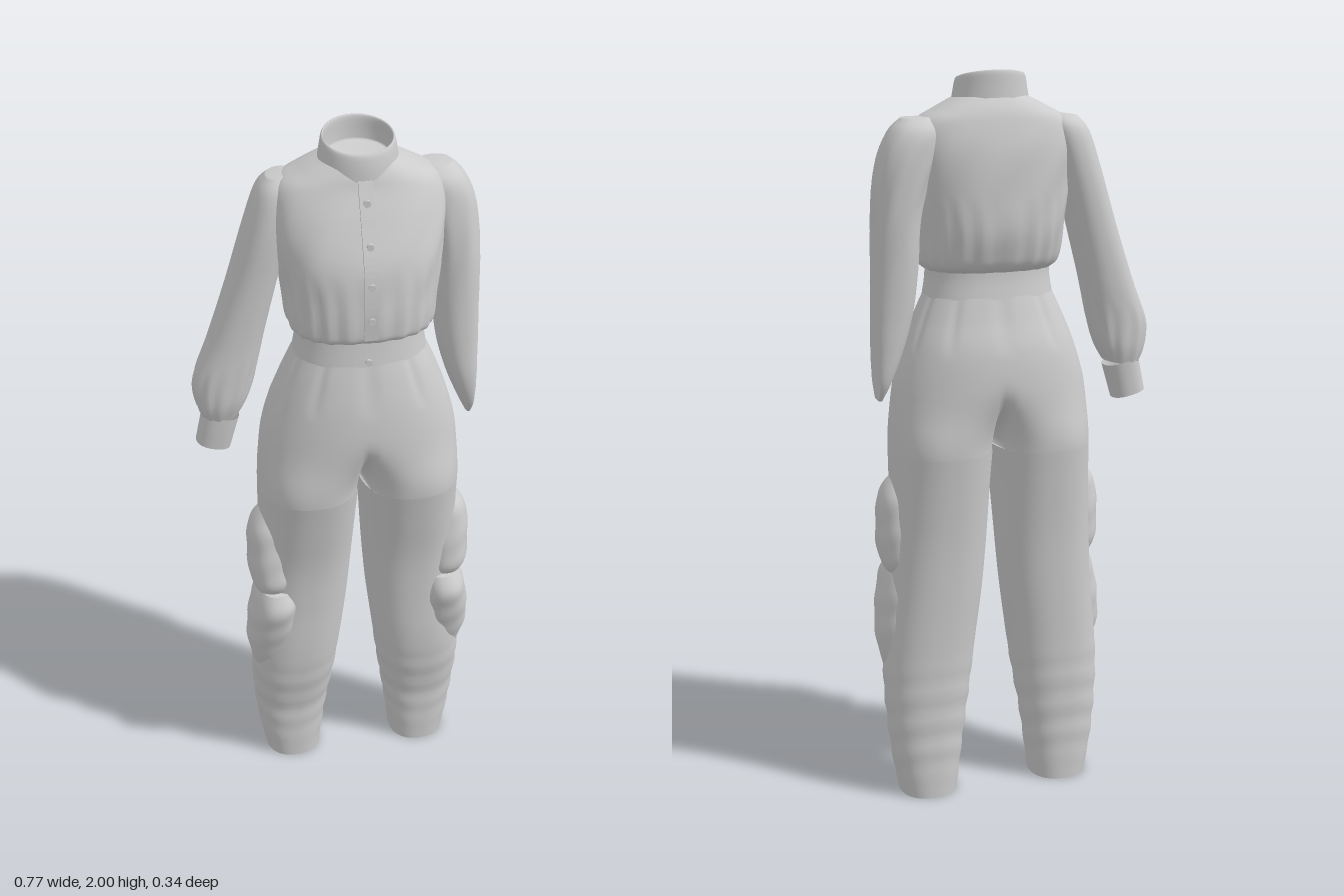
import * as THREE from 'three';

const CX = 0.055; // the body axis sits slightly left of the origin
const material = new THREE.MeshStandardMaterial({ color: 0xcccccc, side: THREE.DoubleSide });

// Smooth curve through one column of the section list
function spline(rows, col, i, t) {
  const at = k => rows[Math.min(Math.max(k, 0), rows.length - 1)][col];
  const [a, b, c, d] = [at(i - 1), at(i), at(i + 1), at(i + 2)];
  return b + 0.5 * t * (c - a + t * (2 * a - 5 * b + 4 * c - d + t * (3 * (b - c) + d - a)));
}

// Loft through horizontal rings, listed top to bottom as [y, xMin, xMax, zFront, zBack]
function loft(name, rows, o = {}) {
  const { e = 2.3, n = 64, sub = 6, tiltX = 0, tiltZ = 0, fold, depth, maxX = 9, capTop, capBottom } = o;
  const pos = [], idx = [];
  const rings = (rows.length - 1) * sub + 1;
  const pw = v => Math.sign(v) * Math.pow(Math.abs(v), 2 / e);
  for (let r = 0; r < rings; r++) {
    const i = Math.min(Math.floor(r / sub), rows.length - 2), t = r / sub - i;
    const [y, x0, x1, zf, zb] = [0, 1, 2, 3, 4].map(c => spline(rows, c, i, t));
    for (let j = 0; j < n; j++) {
      const a = j / n * Math.PI * 2;
      const k = fold ? 1 + fold(a, y) : 1;
      const u = pw(Math.cos(a));
      let v = pw(Math.sin(a));
      if (depth) v = Math.sign(v) * depth(Math.abs(u), Math.abs(v), y);
      const dx = u * k * (x1 - x0) / 2, dz = v * k * (zf - zb) / 2;
      pos.push(Math.min((x0 + x1) / 2 + dx, maxX), y + dx * tiltX + dz * tiltZ, (zf + zb) / 2 + dz);
      if (r < rings - 1) {
        const A = r * n + j, B = r * n + (j + 1) % n;
        idx.push(A, B, A + n, B, B + n, A + n);
      }
    }
  }
  const cap = (row, start, flip) => {
    const c = pos.length / 3;
    pos.push((row[1] + row[2]) / 2, row[0], (row[3] + row[4]) / 2);
    for (let j = 0; j < n; j++) {
      const A = start + j, B = start + (j + 1) % n;
      idx.push(c, flip ? A : B, flip ? B : A);
    }
  };
  if (capTop) cap(rows[0], 0, false);
  if (capBottom) cap(rows[rows.length - 1], (rings - 1) * n, true);
  const g = new THREE.BufferGeometry();
  g.setAttribute('position', new THREE.Float32BufferAttribute(pos, 3));
  g.setIndex(idx);
  g.computeVertexNormals();
  const mesh = new THREE.Mesh(g, material);
  mesh.name = name;
  return mesh;
}

// Symmetric rows: [y, halfWidth, zFront, zBack]
const centred = rows => rows.map(([y, w, f, b]) => [y, CX - w, CX + w, f, b]);
// Side rows: [y, inner, outer, zFront, zBack], measured from the body axis
const sided = (rows, s) => rows.map(([y, i, o, f, b]) =>
  s > 0 ? [y, CX + i, CX + o, f, b] : [y, CX - o, CX - i, f, b]);

const bump = (y, mid, half) => Math.max(0, 1 - ((y - mid) / half) ** 2);

export function createModel() {
  const model = new THREE.Group();
  model.name = 'blouseAndTrousers';

  // Blouse, bloused over the waist
  model.add(loft('blouse', centred([
    [1.935, 0.09, 0.05, -0.105], [1.905, 0.15, 0.065, -0.128], [1.87, 0.205, 0.078, -0.142],
    [1.8, 0.222, 0.112, -0.158], [1.7, 0.212, 0.152, -0.164], [1.6, 0.198, 0.164, -0.162],
    [1.53, 0.192, 0.165, -0.145], [1.5, 0.184, 0.158, -0.13], [1.485, 0.168, 0.13, -0.11],
  ]), { e: 2.5, n: 96, fold: (a, y) => 0.018 * Math.sin(a * 22) * bump(y, 1.53, 0.16)
      + 0.012 * Math.sin(a * 9 + y * 30) * bump(y, 1.7, 0.17) }));

  // Stand collar with an inner wall and neck lining
  model.add(loft('collar', centred([
    [1.91, 0.104, 0.07, -0.112], [1.945, 0.098, 0.068, -0.11], [1.977, 0.092, 0.062, -0.108],
    [1.979, 0.086, 0.054, -0.1], [1.945, 0.086, 0.05, -0.098], [1.92, 0.084, 0.048, -0.096],
  ]), { e: 2, sub: 3, tiltZ: -0.24, capBottom: true }));

  // Button placket following the chest
  const line = new THREE.CatmullRomCurve3([[1.9, 0.066], [1.8, 0.112], [1.7, 0.153], [1.6, 0.165], [1.51, 0.161]]
    .map(([y, z]) => new THREE.Vector3(CX, y, z)));
  const strip = new THREE.Shape([[-0.005, -0.018], [0.005, -0.018], [0.005, 0.018], [-0.005, 0.018]]
    .map(p => new THREE.Vector2(...p)));
  const flat = new THREE.ExtrudeGeometry(strip, { steps: 24, depth: 1, bevelEnabled: false });
  const p = flat.attributes.position;
  for (let i = 0; i < p.count; i++) {
    const q = line.getPoint(Math.min(Math.max(p.getZ(i), 0), 1));
    p.setXYZ(i, q.x + p.getY(i), q.y, q.z - p.getX(i));
  }
  flat.computeVertexNormals();
  const placket = new THREE.Mesh(flat, material);
  placket.name = 'placket';
  model.add(placket);

  // Buttons on the placket and the waistband
  const spots = [0.12, 0.36, 0.6, 0.84].map(t => line.getPoint(t)).concat(new THREE.Vector3(CX, 1.43, 0.133));
  for (const s of spots) {
    const b = new THREE.Mesh(new THREE.CylinderGeometry(0.009, 0.009, 0.008, 16), material);
    b.name = 'button';
    b.rotation.x = Math.PI / 2;
    b.position.set(s.x, s.y, s.z + 0.006);
    model.add(b);
  }

  // Right sleeve, swung outward, gathered above the cuff
  model.add(loft('rightSleeve', [
    [1.885, -0.17, -0.11, -0.02, -0.09], [1.85, -0.2, -0.09, 0.015, -0.125], [1.75, -0.235, -0.11, 0.03, -0.135],
    [1.6, -0.282, -0.148, 0.025, -0.13], [1.45, -0.335, -0.185, 0.02, -0.12], [1.34, -0.378, -0.21, 0.02, -0.11],
    [1.26, -0.375, -0.235, 0.018, -0.103], [1.21, -0.358, -0.262, 0.005, -0.09],
  ], { tiltX: 0.15, capTop: true, fold: (a, y) => 0.04 * Math.sin(a * 12 + y * 20) * bump(y, 1.29, 0.09) }));
  model.add(loft('rightCuff', [
    [1.215, -0.36, -0.262, 0.006, -0.092], [1.17, -0.37, -0.275, 0.004, -0.088], [1.12, -0.381, -0.289, 0, -0.085],
  ], { tiltX: -0.25, sub: 3 }));

  // Left sleeve, hanging straight with a flat outer side and a tapered end
  model.add(loft('leftSleeve', [
    [1.885, 0.22, 0.3, -0.02, -0.09], [1.85, 0.2, 0.335, 0.015, -0.125], [1.78, 0.215, 0.365, 0.025, -0.135],
    [1.65, 0.252, 0.382, 0.03, -0.13], [1.5, 0.262, 0.39, 0.032, -0.118], [1.38, 0.277, 0.395, 0.035, -0.108],
    [1.28, 0.305, 0.395, 0.036, -0.1], [1.2, 0.338, 0.39, 0.02, -0.088], [1.15, 0.362, 0.377, -0.01, -0.06],
  ], { maxX: 0.375, capTop: true, capBottom: true,
    fold: (a, y) => 0.02 * Math.sin(a * 8 + y * 25) * bump(y, 1.7, 0.18) }));

  // Waistband
  model.add(loft('waistband', centred([
    [1.495, 0.168, 0.125, -0.108], [1.46, 0.169, 0.129, -0.11], [1.415, 0.176, 0.135, -0.118],
  ]), { sub: 3 }));

  // Hips: one outline that divides into two legs at the crotch
  const e = 2.3;
  model.add(loft('hips', centred([
    [1.42, 0.174, 0.134, -0.117], [1.36, 0.202, 0.148, -0.135], [1.28, 0.233, 0.162, -0.16],
    [1.18, 0.262, 0.17, -0.17], [1.08, 0.273, 0.17, -0.168], [1.0, 0.277, 0.163, -0.162],
  ]), { e, n: 128, sub: 8,
    fold: (a, y) => -0.03 * bump(y, 1.37, 0.1) * Math.pow(Math.abs(Math.sin(a * 5)), 14),
    depth: (u, v, y) => {
      const legs = Math.pow(Math.max(0, 1 - Math.pow(Math.abs(2 * u - 1), e)), 1 / e);
      const m = THREE.MathUtils.smoothstep(1.24 - y, 0, 0.24);
      return THREE.MathUtils.lerp(v, legs, m * m);
    } }));

  for (const [side, s] of [['left', 1], ['right', -1]]) {
    // Trouser leg with slouching folds toward the open hem
    model.add(loft(side + 'Leg', sided([
      [1.0, 0, 0.277, 0.163, -0.162], [0.9, 0.008, 0.278, 0.143, -0.15], [0.75, 0.018, 0.282, 0.115, -0.134],
      [0.6, 0.031, 0.29, 0.105, -0.125], [0.45, 0.05, 0.304, 0.102, -0.118], [0.33, 0.066, 0.31, 0.09, -0.115],
      [0.2, 0.086, 0.303, 0.066, -0.112], [0.1, 0.1, 0.292, 0.062, -0.111], [0, 0.112, 0.275, 0.06, -0.11],
    ], s), { n: 80, fold: (a, y) => 0.02 * bump(y, 0.22, 0.2) * Math.sin(y * 75 + 3 * Math.sin(a)) }));

    // Two baggy cargo pockets on the outer front of the leg
    const crumple = (a, y) => 0.02 * Math.sin(y * 70 + a * 2);
    model.add(loft(side + 'UpperPocket', sided([
      [0.92, 0.2, 0.272, 0.06, -0.03], [0.87, 0.19, 0.308, 0.085, -0.058], [0.78, 0.19, 0.316, 0.1, -0.07],
      [0.7, 0.19, 0.312, 0.105, -0.068], [0.65, 0.2, 0.292, 0.08, -0.045],
    ], s), { n: 40, capTop: true, capBottom: true, fold: crumple }));
    model.add(loft(side + 'LowerPocket', sided([
      [0.67, 0.19, 0.288, 0.105, -0.045], [0.62, 0.18, 0.308, 0.128, -0.068], [0.54, 0.18, 0.322, 0.112, -0.07],
      [0.45, 0.19, 0.324, 0.085, -0.06], [0.37, 0.21, 0.305, 0.055, -0.035],
    ], s), { n: 40, capTop: true, capBottom: true, fold: crumple }));
  }
  return model;
}
